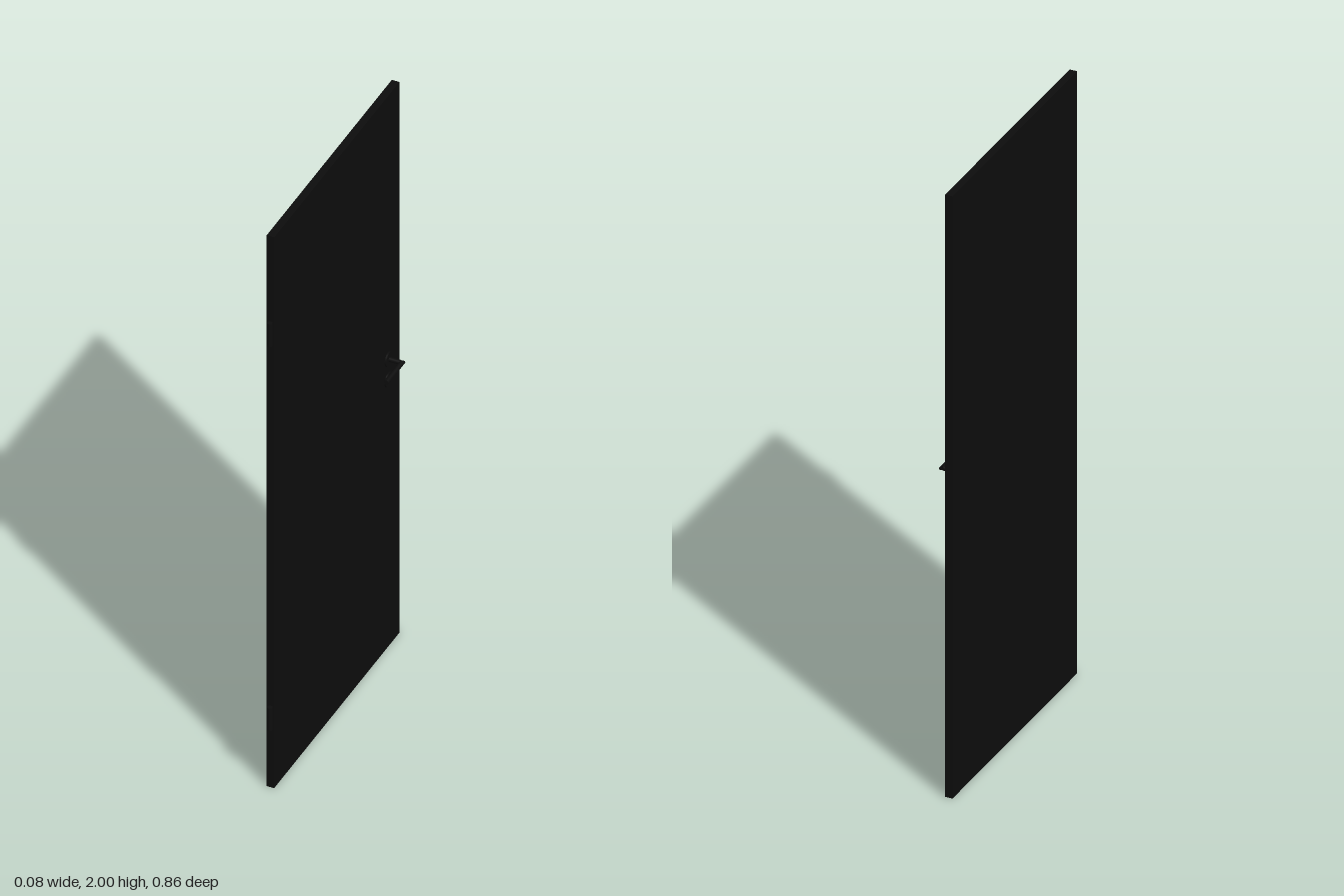
import * as THREE from 'three';

const black = new THREE.MeshStandardMaterial({ color: 0x0d0d0d });

function add(parent, name, geometry, x, y, z) {
  const mesh = new THREE.Mesh(geometry, black);
  mesh.name = name;
  mesh.position.set(x, y, z);
  parent.add(mesh);
  return mesh;
}

// Round bar along +z from 0 to length, with its start cut at 45 degrees
function mitredBar(radius, length) {
  const g = new THREE.CylinderGeometry(radius, radius, length, 24);
  g.rotateX(Math.PI / 2).translate(0, 0, length / 2);
  const p = g.attributes.position;
  for (let i = 0; i < p.count; i++) {
    if (p.getZ(i) < length / 2) p.setZ(i, -p.getX(i));
  }
  return g;
}

export function createModel() {
  const door = new THREE.Group();
  door.name = 'door';

  const face = -0.014, faceBack = -0.038;
  const leafBack = -0.43, leafFront = 0.411;

  // Door leaf
  add(door, 'leaf', new THREE.BoxGeometry(face - faceBack, 2, leafFront - leafBack),
    (face + faceBack) / 2, 1, (leafBack + leafFront) / 2);

  // Hinge barrels on the front edge
  for (const [name, y] of [['upperHinge', 1.65], ['lowerHinge', 0.255]]) {
    add(door, name, new THREE.CylinderGeometry(0.008, 0.008, 0.082, 24), -0.024, y, 0.418);
  }

  // Lever handle: rosette, stem and grip
  const handle = new THREE.Group();
  handle.name = 'handle';
  handle.position.set(0, 1.045, -0.355);
  door.add(handle);
  const rosette = new THREE.CylinderGeometry(0.024, 0.024, 0.006, 32).rotateZ(-Math.PI / 2);
  add(handle, 'handleRosette', rosette, face + 0.002, 0, 0);

  const r = 0.0075, corner = 0.0305;
  add(handle, 'grip', mitredBar(r, 0.106), corner, 0, 0);
  const stem = mitredBar(r, corner - face);
  stem.rotateY(-Math.PI / 2);
  add(handle, 'stem', stem, corner, 0, 0);

  // Lock rosette with a keyhole cut through it
  const plate = new THREE.Shape().absarc(0, 0, 0.024, 0, Math.PI * 2, false);
  const keyhole = new THREE.Path();
  keyhole.absarc(0, 0.005, 0.004, -Math.PI / 3, Math.PI * 4 / 3, false);
  keyhole.lineTo(-0.002, -0.01);
  keyhole.lineTo(0.002, -0.01);
  keyhole.closePath();
  plate.holes.push(keyhole);
  const lock = new THREE.ExtrudeGeometry(plate, { depth: 0.005, bevelEnabled: false, curveSegments: 24 });
  lock.rotateY(Math.PI / 2);
  add(door, 'lockRosette', lock, face, 0.97, -0.355);

  return door;
}
